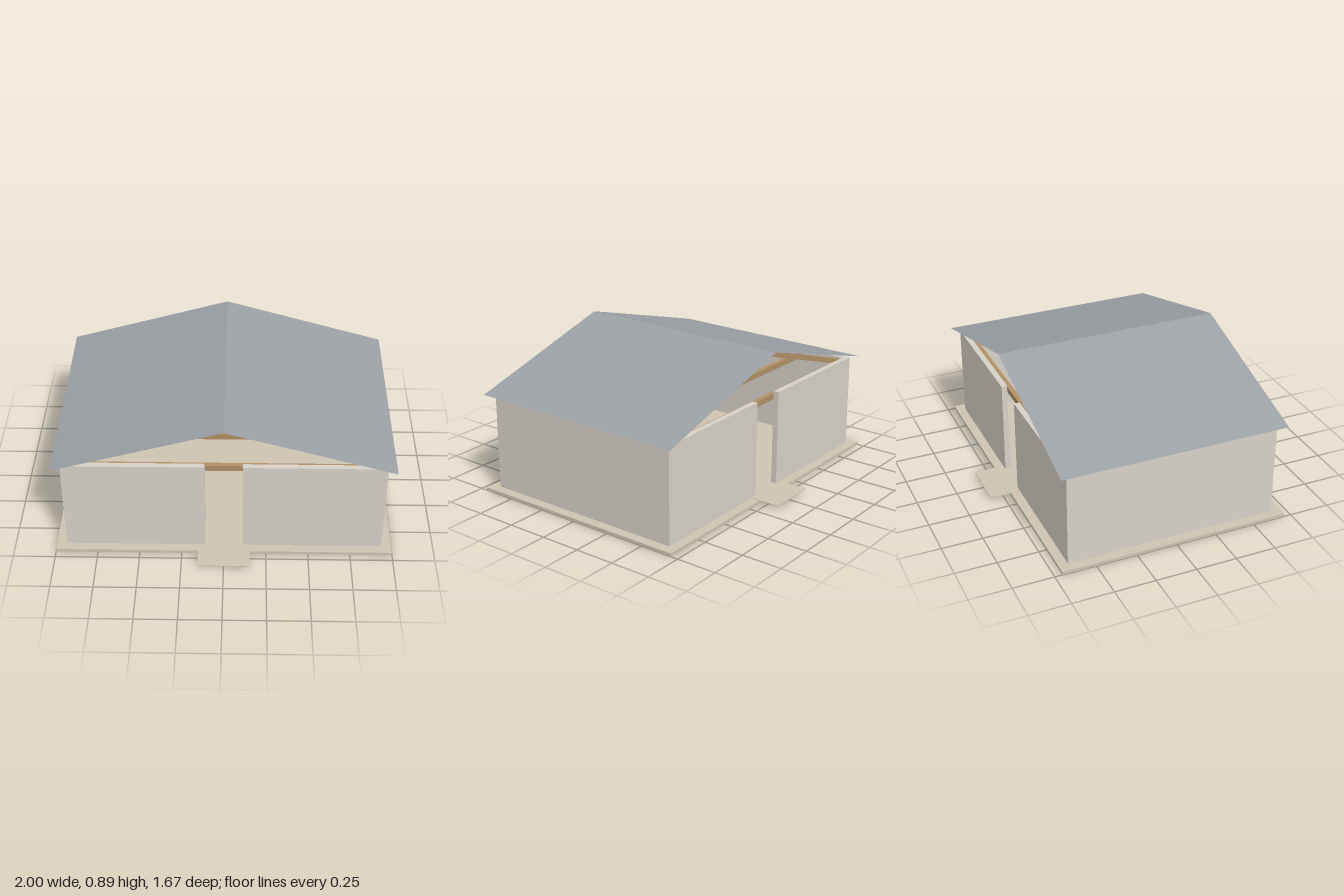
import * as THREE from 'three';

const material = (color, side = THREE.FrontSide) =>
  new THREE.MeshStandardMaterial({ color, side, flatShading: true });

export function createModel() {
  const house = new THREE.Group();
  house.name = 'house';
  const slabMat = material(0xcdc3b2);
  const wallMat = material(0xd6d1c7);
  const woodMat = material(0xb08f66);
  const roofMat = material(0x9aa0a4, THREE.DoubleSide);

  // Box given by its minimum and maximum corners
  const box = (name, mat, [x0, y0, z0], [x1, y1, z1], parent = house) => {
    const mesh = new THREE.Mesh(new THREE.BoxGeometry(x1 - x0, y1 - y0, z1 - z0), mat);
    mesh.position.set((x0 + x1) / 2, (y0 + y1) / 2, (z0 + z1) / 2);
    mesh.name = name;
    parent.add(mesh);
    return mesh;
  };

  // Floor slab and the thin path running through both doorways
  box('floorSlab', slabMat, [-1, 0, -0.705], [1, 0.019, 0.705]);
  box('path', slabMat, [-0.153, 0.018, -0.835], [0.153, 0.022, 0.835]);

  // Walls: full-length sides, and front and back split by a door gap
  const X = 0.94, Z = 0.648, T = 0.035, door = 0.11, base = 0.019, top = 0.61;
  for (const [name, s] of [['left', 1], ['right', -1]]) {
    const span = (a, b) => (s > 0 ? [a, b] : [-b, -a]);
    const [a, b] = span(X - T, X);
    box(`${name}Wall`, wallMat, [a, base, -Z], [b, top, Z]);
    const [c, d] = span(door, X - T);
    box(`${name}FrontWall`, wallMat, [c, base, Z - T], [d, top, Z]);
    box(`${name}BackWall`, wallMat, [c, base, -Z], [d, top, T - Z]);
  }

  // Roof trusses: a tie beam and a bent pair of rafters
  const depth = 0.03;
  const rafterShape = new THREE.Shape([
    [0, 0.89], [-0.9, 0.6], [-0.9, 0.566], [0, 0.857], [0.9, 0.566], [0.9, 0.6],
  ].map(([x, y]) => new THREE.Vector2(x, y)));
  const rafterGeo = new THREE.ExtrudeGeometry(rafterShape, { depth, bevelEnabled: false });
  rafterGeo.translate(0, 0, -depth / 2);
  for (let i = -2; i <= 2; i++) {
    const truss = new THREE.Group();
    truss.name = 'roofTruss';
    truss.position.z = i * 0.295;
    const rafters = new THREE.Mesh(rafterGeo, woodMat);
    rafters.name = 'rafters';
    truss.add(rafters);
    box('tieBeam', woodMat, [-0.9, 0.552, -depth / 2], [0.9, 0.588, depth / 2], truss);
    house.add(truss);
  }

  // Thin gable roof: a plane folded along the ridge
  const roofGeo = new THREE.PlaneGeometry(1.98, 1.39, 2, 1).rotateX(-Math.PI / 2);
  const p = roofGeo.attributes.position;
  for (let i = 0; i < p.count; i++) p.setY(i, 0.895 - 0.282 * Math.abs(p.getX(i)) / 0.99);
  const foldedRoof = roofGeo.toNonIndexed();
  foldedRoof.computeVertexNormals();
  const roof = new THREE.Mesh(foldedRoof, roofMat);
  roof.name = 'roof';
  house.add(roof);

  return house;
}
